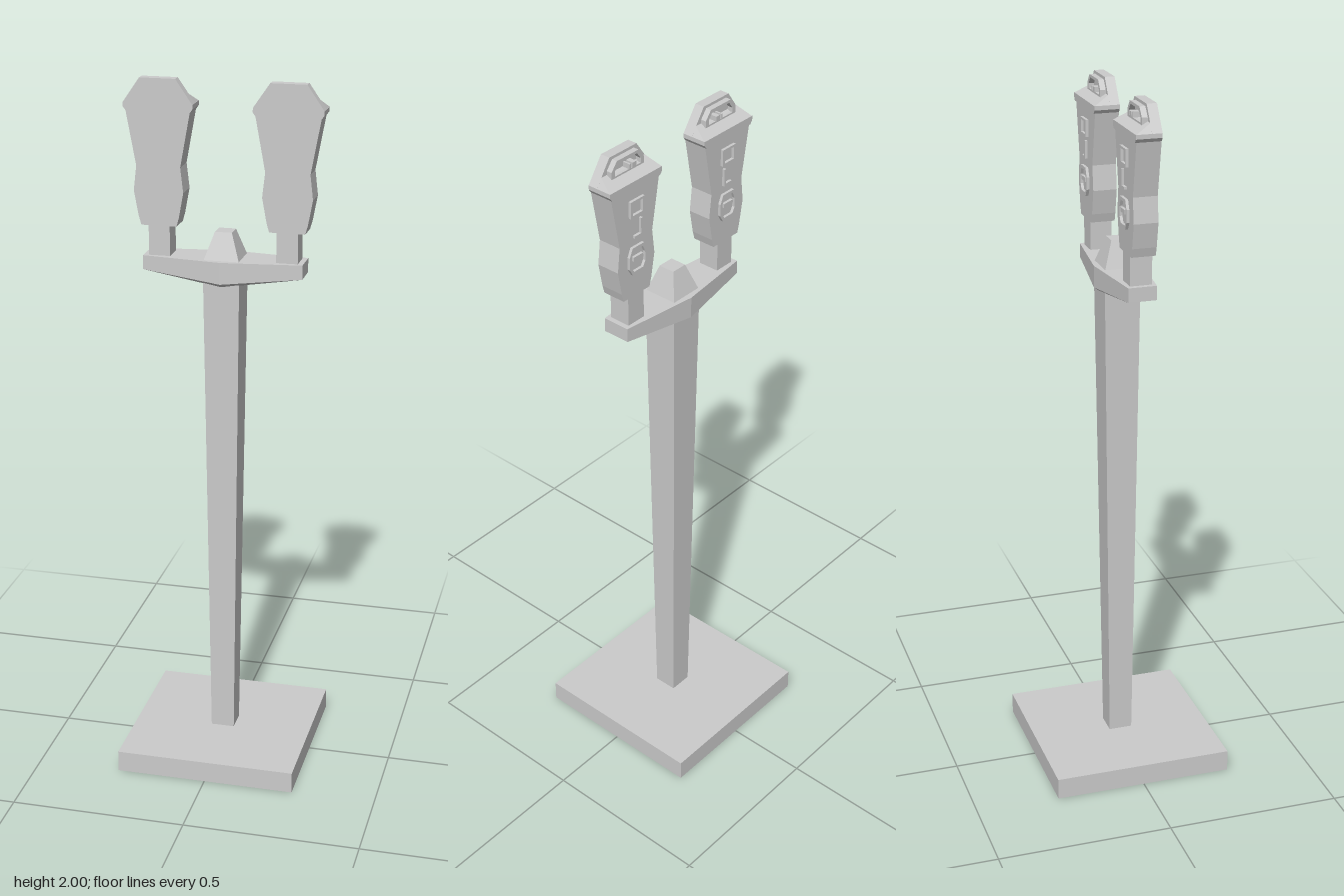
import * as THREE from 'three';
import { ConvexGeometry } from 'three/addons/geometries/ConvexGeometry.js';

const material = new THREE.MeshStandardMaterial({ color: 0xcccccc, flatShading: true });

function add(parent, name, geometry) {
  const mesh = new THREE.Mesh(geometry, material);
  mesh.name = name;
  parent.add(mesh);
  return mesh;
}

function box(parent, name, w, h, d, x, y, z) {
  add(parent, name, new THREE.BoxGeometry(w, h, d)).position.set(x, y, z);
}

// Square tapered column; r0 and r1 are half widths at the bottom and top
function taper(parent, name, r0, r1, y0, y1) {
  const g = new THREE.CylinderGeometry(r1 * Math.SQRT2, r0 * Math.SQRT2, y1 - y0, 4);
  g.rotateY(Math.PI / 4).translate(0, (y0 + y1) / 2, 0);
  add(parent, name, g);
}

const hull = (points) => new ConvexGeometry(points.map((p) => new THREE.Vector3(...p)));

// Closed outline from the right half of a symmetric profile, listed bottom to top
const symmetric = (half) => [...half, ...half.map(([x, y]) => [-x, y]).reverse()];

// Outline extruded from z0 to z1, with an optional hole
function prism(parent, name, outline, z0, z1, hole) {
  const toV = (pts) => pts.map(([x, y]) => new THREE.Vector2(x, y));
  const shape = new THREE.Shape(toV(outline));
  if (hole) shape.holes.push(new THREE.Path(toV(hole)));
  const g = new THREE.ExtrudeGeometry(shape, { depth: z1 - z0, bevelEnabled: false });
  add(parent, name, g.translate(0, 0, z0));
}

// Raised outline frame on the rear of a meter
function frame(parent, name, half, cy, s) {
  const outer = symmetric(half);
  const inner = outer.map(([x, y]) => [x * s, cy + (y - cy) * s]);
  prism(parent, name, outer, -0.042, -0.03, inner);
}

// One meter; side is +1 for the model's left and -1 for its right
function createMeter(side) {
  const meter = new THREE.Group();
  meter.name = side > 0 ? 'leftMeter' : 'rightMeter';
  meter.position.x = side * 0.18;

  box(meter, 'stem', 0.06, 0.1, 0.062, 0, 1.555, 0);
  prism(meter, 'body', symmetric([
    [0.05, 1.595], [0.057, 1.62], [0.07, 1.69], [0.062, 1.76], [0.09, 1.912],
  ]), -0.034, 0.034);

  // Head: lip, tall front slab and sloping rear shoulder
  prism(meter, 'headLip', symmetric([[0.09, 1.91], [0.097, 1.92], [0.097, 1.932]]), -0.038, 0.034);
  prism(meter, 'headFront', symmetric([[0.097, 1.932], [0.05, 2]]), 0.006, 0.034);
  const shoulder = [];
  for (const s of [-1, 1]) {
    shoulder.push([s * 0.097, 1.931, -0.038], [s * 0.097, 1.931, 0.007], [s * 0.08, 1.957, 0.007]);
  }
  add(meter, 'headShoulder', hull(shoulder));

  // Hooded display window with small fittings inside
  prism(meter, 'displayHood',
    symmetric([[0.06, 1.945], [0.06, 1.967], [0.04, 1.992]]), -0.01, 0.007,
    symmetric([[0.048, 1.952], [0.048, 1.965], [0.034, 1.984]]));
  box(meter, 'displayButton', 0.014, 0.014, 0.022, -side * 0.018, 1.962, -0.005);
  box(meter, 'displayPin', 0.005, 0.014, 0.022, -side * 0.002, 1.962, -0.005);

  // Rear fittings: card frame, slot bracket, coin door
  frame(meter, 'cardFrame',
    [[0.026, 1.832], [0.026, 1.88]], 1.856, 0.72);
  box(meter, 'slotUpright', 0.007, 0.05, 0.01, -side * 0.015, 1.795, -0.037);
  box(meter, 'slotFoot', 0.03, 0.007, 0.01, -side * 0.003, 1.773, -0.037);
  frame(meter, 'coinDoorFrame',
    [[0.022, 1.665], [0.033, 1.685], [0.033, 1.72], [0.022, 1.745]], 1.705, 0.78);
  box(meter, 'coinDoorHandle', 0.036, 0.012, 0.01, 0, 1.71, -0.037);
  return meter;
}

export function createModel() {
  const model = new THREE.Group();
  model.name = 'doubleParkingMeter';

  box(model, 'basePlate', 0.52, 0.062, 0.52, 0, 0.031, 0);
  taper(model, 'post', 0.034, 0.051, 0.06, 1.45);

  // Cross arm: pointed in plan, with a shallow keel underneath
  const arm = [];
  for (const z of [-1, 1]) {
    arm.push([0, 1.51, z * 0.067], [0, 1.448, z * 0.067], [0, 1.436, z * 0.05]);
    for (const x of [-0.225, 0.225]) arm.push([x, 1.51, z * 0.04], [x, 1.47, z * 0.04]);
  }
  add(model, 'crossArm', hull(arm));
  taper(model, 'finial', 0.05, 0.024, 1.508, 1.585);

  for (const side of [-1, 1]) model.add(createMeter(side));
  return model;
}
